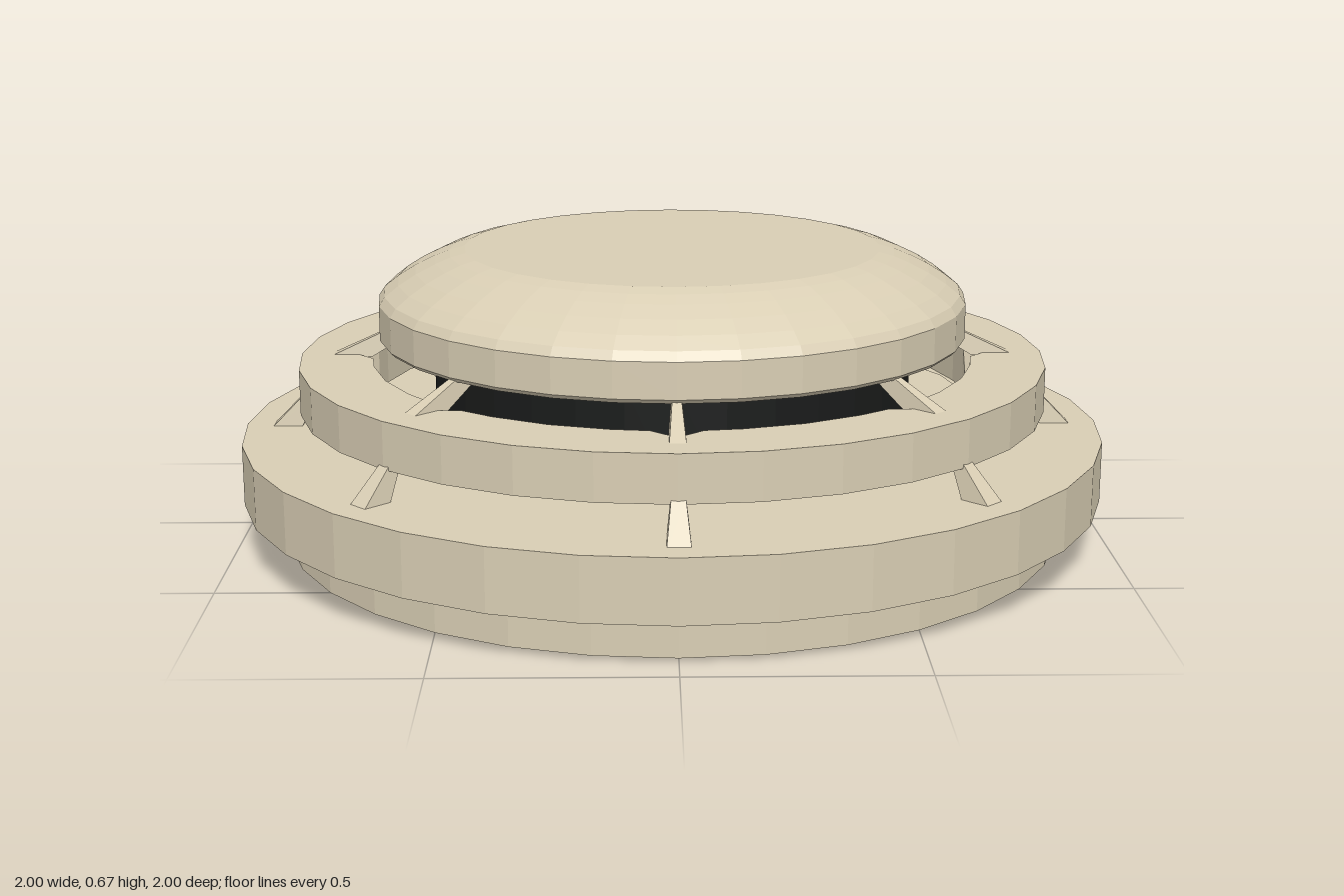
import * as THREE from 'three';

const SIDES = 32;
const shell = new THREE.MeshStandardMaterial({ color: 0xd9ceb4, flatShading: true });
const dark = new THREE.MeshStandardMaterial({ color: 0x1a1c1b, flatShading: true });

function add(parent, name, geometry, material = shell) {
  const mesh = new THREE.Mesh(geometry, material);
  mesh.name = name;
  parent.add(mesh);
  return mesh;
}

// Solid of revolution from [radius, height] pairs, listed bottom to top
function turned(points) {
  return new THREE.LatheGeometry(points.map(([r, y]) => new THREE.Vector2(r, y)), SIDES);
}

// Slanted, tapering rib along +x; each end is [inner radius, outer radius, y, half width]
function rib(bottom, top) {
  const geometry = new THREE.BoxGeometry(1, 1, 1);
  const p = geometry.attributes.position;
  for (let i = 0; i < p.count; i++) {
    const [inner, outer, y, half] = p.getY(i) < 0 ? bottom : top;
    p.setXYZ(i, p.getX(i) < 0 ? inner : outer, y, Math.sign(p.getZ(i)) * half);
  }
  geometry.computeVertexNormals();
  return geometry;
}

// Flat ring with eight V-shaped pockets that slope down to the inner edge
function notchedRing(outer, inner, notch, y0, y1) {
  const polar = (r, a) => new THREE.Vector2(r * Math.cos(a), r * Math.sin(a));
  const rim = [], hole = [];
  for (let i = 0; i < SIDES; i++) rim.push(polar(outer, i * 2 * Math.PI / SIDES));
  for (let k = 0; k < 8; k++) {
    const a = k * Math.PI / 4;
    hole.push(polar(inner, a - 0.08), polar(notch, a), polar(inner, a + 0.08));
    for (let j = 1; j < 4; j++) hole.push(polar(inner, a + j * Math.PI / 16));
  }
  const shape = new THREE.Shape(rim);
  shape.holes.push(new THREE.Path(hole));
  const geometry = new THREE.ExtrudeGeometry(shape, { depth: y1 - y0, bevelEnabled: false });
  geometry.rotateX(-Math.PI / 2).translate(0, y0, 0);
  const p = geometry.attributes.position;
  for (let i = 0; i < p.count; i++) {
    const r = Math.hypot(p.getX(i), p.getZ(i));
    if (p.getY(i) < (y0 + y1) / 2 && r < notch + 0.01) {
      p.setX(i, p.getX(i) * inner / r);
      p.setZ(i, p.getZ(i) * inner / r);
    }
  }
  geometry.computeVertexNormals();
  return geometry;
}

export function createModel() {
  const model = new THREE.Group();
  model.name = 'ceilingDetector';

  // Stepped base
  add(model, 'base', turned([
    [0, 0], [0.9, 0], [0.9, 0.105], [1, 0.105], [1, 0.245], [0, 0.245],
  ]));

  // Dark sensing chamber
  add(model, 'chamber', turned([[0, 0.24], [0.555, 0.24], [0.555, 0.47], [0, 0.47]]), dark);

  // Middle ring
  add(model, 'middleRing', notchedRing(0.865, 0.695, 0.745, 0.31, 0.415));

  // Rounded cap with a flat top
  add(model, 'cap', turned([
    [0, 0.465], [0.67, 0.465], [0.68, 0.475], [0.68, 0.555], [0.667, 0.575],
    [0.635, 0.6], [0.595, 0.625], [0.55, 0.647], [0.515, 0.661], [0.48, 0.67], [0, 0.67],
  ]));

  // Eight pairs of ribs carrying the ring and the cap
  const lower = rib([0.87, 0.94, 0.24, 0.025], [0.83, 0.862, 0.32, 0.015]);
  const upper = rib([0.7, 0.8, 0.41, 0.018], [0.6, 0.67, 0.47, 0.01]);
  for (let k = 0; k < 8; k++) {
    const ribs = new THREE.Group();
    ribs.name = `ribs${k + 1}`;
    add(ribs, 'lowerRib', lower);
    add(ribs, 'upperRib', upper);
    ribs.rotation.y = k * Math.PI / 4;
    model.add(ribs);
  }
  return model;
}
